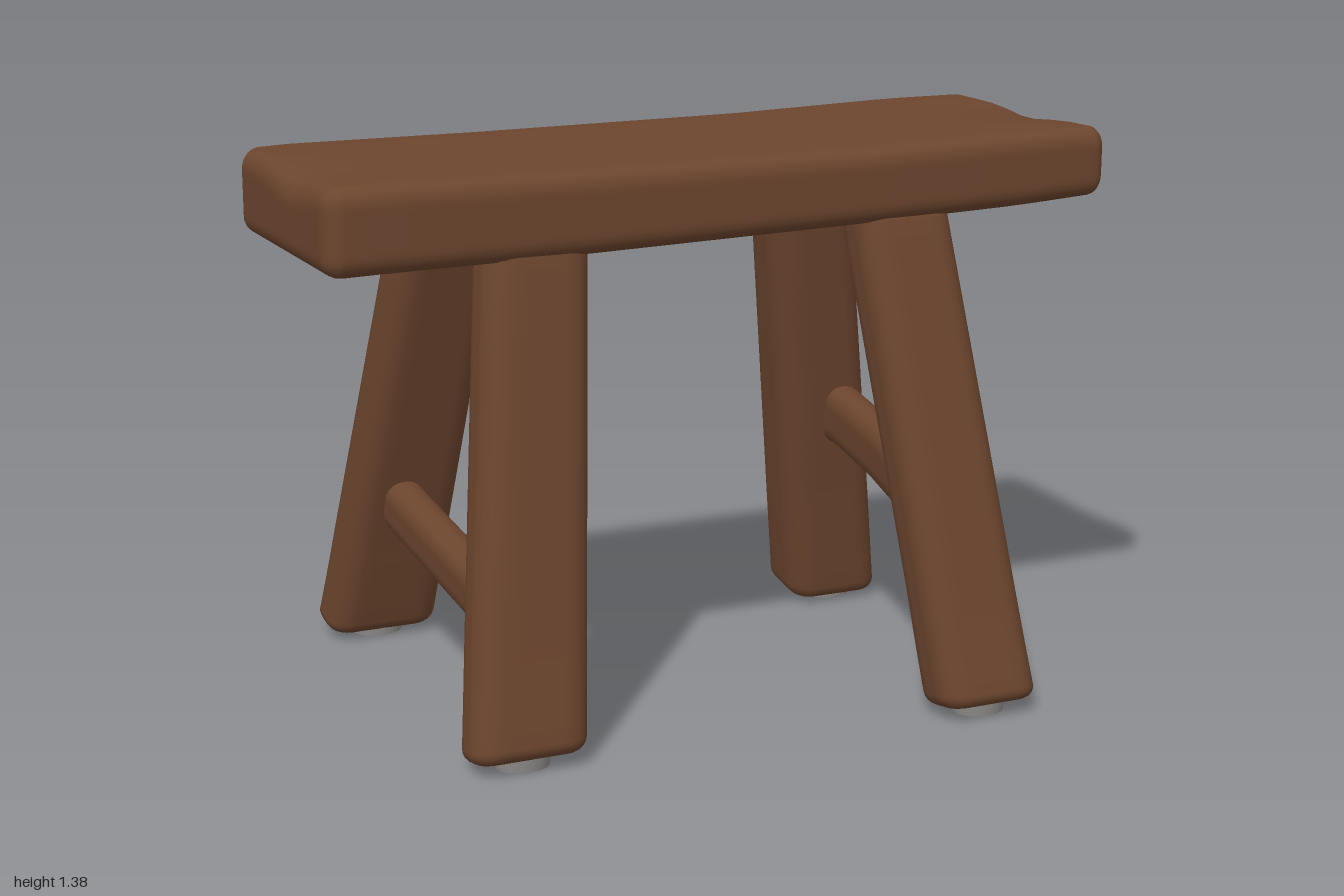
import * as THREE from 'three';

const wood = new THREE.MeshStandardMaterial({ color: 0x6c452e });
wood.name = 'brown wood';
const pad = new THREE.MeshStandardMaterial({ color: 0x8f8d8a });
pad.name = 'grey foot pad';

// Rounded rectangle outline, counter-clockwise, with subdivided edges
function outline(a0, a1, b0, b1, r) {
  const corners = [[a1 - r, b0 + r, -1], [a1 - r, b1 - r, 0], [a0 + r, b1 - r, 1], [a0 + r, b0 + r, 2]];
  const pts = [];
  corners.forEach(([ca, cb, q], k) => {
    for (let i = 0; i <= 5; i++) {
      const th = (q + i / 5) * Math.PI / 2;
      pts.push([ca + r * Math.cos(th), cb + r * Math.sin(th)]);
    }
    const [na, nb, nq] = corners[(k + 1) % 4];
    const th = nq * Math.PI / 2;
    const next = [na + r * Math.cos(th), nb + r * Math.sin(th)];
    const last = pts[pts.length - 1];
    for (let i = 1; i < 8; i++) {
      pts.push([last[0] + (next[0] - last[0]) * i / 8, last[1] + (next[1] - last[1]) * i / 8]);
    }
  });
  return pts;
}

// Rounded beam along an axis (0 x, 1 y, 2 z); stations are [t, a0, a1, b0, b1],
// where a and b are the next two axes in cyclic order
function beam(axis, stations, radius, round, warp) {
  const first = stations[0][0], end = stations[stations.length - 1][0];
  const at = (t) => {
    let k = 0;
    while (k < stations.length - 2 && t > stations[k + 1][0]) k++;
    const s = stations[k], e = stations[k + 1];
    const f = (t - s[0]) / (e[0] - s[0]);
    return s.map((v, i) => v + (e[i] - v) * f);
  };
  const rings = [];
  for (let i = 0; i <= 5; i++) {
    const th = i / 5 * Math.PI / 2;
    rings.push([first + round * (1 - Math.sin(th)), round * (1 - Math.cos(th))]);
  }
  rings.reverse();
  const lower = rings.map(([t, inset]) => [first + round - (t - first), round - inset]);
  const all = lower.map((_, i) => {
    const th = i / 5 * Math.PI / 2;
    return [first + round * (1 - Math.cos(th)), round * (1 - Math.sin(th))];
  });
  const upper = all.map(([t, inset]) => [end - (t - first), inset]).reverse();
  for (let i = 1; i < 24; i++) all.push([first + round + (end - first - 2 * round) * i / 24, 0]);
  all.push(...upper);
  // flat inner rings closing the two ends
  all.unshift([first, -1], [first, round + 0.012]);
  all.push([end, round + 0.012], [end, -1]);

  const pos = [], index = [];
  let n = 0;
  for (const [t, inset] of all) {
    const [, a0, a1, b0, b1] = at(t);
    const d = Math.max(inset, 0);
    const ring = outline(a0 + d, a1 - d, b0 + d, b1 - d, Math.max(radius - d, 0.012));
    n = ring.length;
    for (const [a, b] of ring) {
      const p = [0, 0, 0];
      p[axis] = t;
      p[(axis + 1) % 3] = inset < 0 ? (a0 + a1) / 2 : a;
      p[(axis + 2) % 3] = inset < 0 ? (b0 + b1) / 2 : b;
      if (warp) warp(p);
      pos.push(...p);
    }
  }
  for (let i = 0; i < all.length - 1; i++) {
    for (let j = 0; j < n; j++) {
      const a = i * n + j, b = i * n + (j + 1) % n;
      if (i > 0) index.push(a, b, b + n);
      if (i < all.length - 2) index.push(a, b + n, a + n);
    }
  }
  const g = new THREE.BufferGeometry();
  g.setAttribute('position', new THREE.Float32BufferAttribute(pos, 3));
  g.setIndex(index);
  g.computeVertexNormals();
  return g;
}

export function createModel() {
  const model = new THREE.Group();
  model.name = 'bench';
  const add = (name, geometry, material = wood) => {
    const mesh = new THREE.Mesh(geometry, material);
    mesh.name = name;
    model.add(mesh);
    return mesh;
  };

  // Slightly tilted plank with a shallow worn dip at each end
  add('seat', beam(0, [
    [-1, 1.15, 1.355, -0.30, 0.375],
    [-0.93, 1.155, 1.36, -0.325, 0.385],
    [-0.4, 1.163, 1.36, -0.315, 0.395],
    [0.3, 1.18, 1.365, -0.308, 0.405],
    [0.75, 1.195, 1.378, -0.303, 0.415],
    [0.96, 1.207, 1.378, -0.298, 0.415],
    [0.995, 1.215, 1.37, -0.28, 0.4],
  ], 0.045, 0.045, (p) => {
    if (p[1] < 1.28) return;
    const ends = Math.pow(Math.min(Math.abs(p[0]), 1), 10);
    p[1] -= 0.028 * ends * Math.exp(-Math.pow((p[2] - 0.1) / 0.12, 2));
  }));

  // Splayed legs: [name, top z0 z1 x0 x1, bottom z0 z1 x0 x1]
  const legs = [
    ['frontLeftLeg', [0.22, 0.385, 0.32, 0.57], [0.52, 0.69, 0.42, 0.68]],
    ['backLeftLeg', [-0.285, -0.10, 0.33, 0.57], [-0.49, -0.29, 0.51, 0.77]],
    ['frontRightLeg', [0.20, 0.37, -0.61, -0.36], [0.405, 0.555, -0.74, -0.45]],
    ['backRightLeg', [-0.315, -0.14, -0.62, -0.36], [-0.69, -0.525, -0.735, -0.44]],
  ];
  for (const [name, top, bottom] of legs) {
    const zc = (bottom[0] + bottom[1]) / 2, xc = (bottom[2] + bottom[3]) / 2;
    const side = Math.sign(zc);
    // foot end cut square to the leg, so its outer edge sits higher
    add(name, beam(1, [[0.025, ...bottom], [1.22, ...top]], 0.06, 0.035, (p) => {
      const fade = Math.max(0, 1 - p[1] / 0.3);
      p[1] += fade * 0.2 * side * (p[2] - zc);
    }));
    const foot = add(name + 'Pad', new THREE.CylinderGeometry(0.07, 0.065, 0.035, 16), pad);
    foot.scale.z = 0.85;
    foot.position.set(xc, 0.0175, zc - side * 0.015);
  }

  // Rungs joining front and back legs
  add('leftRung', beam(2, [
    [-0.3, 0.55, 0.65, 0.47, 0.635],
    [-0.18, 0.54, 0.64, 0.475, 0.63],
    [0.1, 0.5, 0.6, 0.455, 0.61],
    [0.33, 0.45, 0.56, 0.44, 0.59],
    [0.47, 0.44, 0.55, 0.43, 0.57],
  ], 0.045, 0.02));
  add('rightRung', beam(2, [
    [-0.5, -0.62, -0.52, 0.33, 0.47],
    [-0.2, -0.62, -0.52, 0.295, 0.435],
    [0.2, -0.62, -0.52, 0.25, 0.39],
    [0.3, -0.62, -0.52, 0.24, 0.345],
    [0.42, -0.62, -0.52, 0.225, 0.33],
  ], 0.045, 0.02));

  return model;
}
